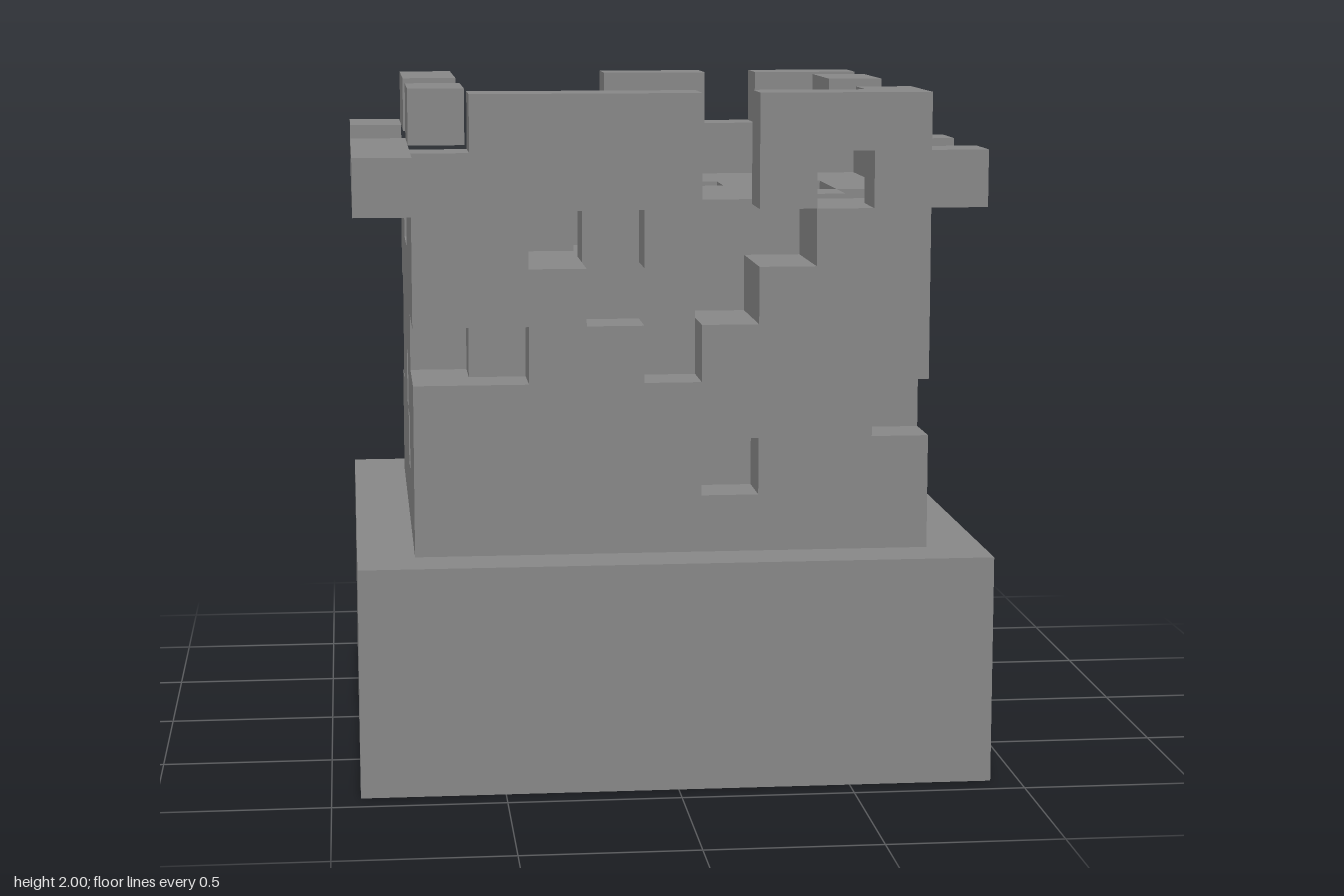
import * as THREE from 'three';
import { mergeGeometries } from 'three/addons/utils/BufferGeometryUtils.js';

const U = 1 / 6; // edge of one block

// Square facing each of the six directions, half a block from the centre
const SIDES = [
  [1, 0, 0], [-1, 0, 0], [0, 1, 0], [0, -1, 0], [0, 0, 1], [0, 0, -1],
].map(([x, y, z]) => {
  const face = new THREE.PlaneGeometry(U, U);
  if (x) face.rotateY(x * Math.PI / 2);
  if (y) face.rotateX(-y * Math.PI / 2);
  if (z < 0) face.rotateY(Math.PI);
  face.translate(x * U / 2, y * U / 2, z * U / 2);
  return { x, y, z, face };
});

const key = (x, y, z) => `${x},${y},${z}`;

// All blocks of a cuboid, ends included
function cuboid(x0, x1, y0, y1, z0, z1) {
  const blocks = [];
  for (let x = x0; x <= x1; x++)
    for (let y = y0; y <= y1; y++)
      for (let z = z0; z <= z1; z++) blocks.push([x, y, z]);
  return blocks;
}

// Skin around the given blocks, leaving out faces touching a solid block
function skin(blocks, solid) {
  const faces = [];
  for (const [x, y, z] of blocks)
    for (const s of SIDES) {
      if (solid.has(key(x + s.x, y + s.y, z + s.z))) continue;
      faces.push(s.face.clone().translate(x * U, (y + 0.5) * U, z * U));
    }
  return mergeGeometries(faces);
}

// Tower with blocks broken out of each wall and the roof
function towerBlocks() {
  const holes = new Set();
  const carve = (x0, x1, y0, y1, z0, z1) =>
    cuboid(x0, x1, y0, y1, z0, z1).forEach((b) => holes.add(key(...b)));

  // front and back walls: first x, last x, row
  const acrossX = (z, runs) => runs.forEach(([a, b, y]) => carve(a, b, y, y, z, z));
  acrossX(4, [[-2, -1, 9], [1, 2, 9], [-1, 1, 8], [0, 0, 7], [-4, -3, 7], [4, 4, 6], [1, 1, 5]]);
  acrossX(-4, [[1, 3, 9], [2, 2, 8], [-2, -2, 8], [1, 1, 6], [-2, -2, 5]]);

  // side walls: z, lowest row, highest row
  const upright = (x, runs) => runs.forEach(([z, a, b]) => carve(x, x, a, b, z, z));
  upright(4, [[2, 9, 9], [1, 9, 9], [0, 8, 8], [-2, 7, 8], [3, 7, 7], [1, 7, 7], [-1, 6, 6], [3, 5, 5]]);
  upright(-4, [[-4, 6, 7], [3, 7, 7], [0, 6, 6], [1, 5, 5]]);
  upright(3, [[-2, 8, 8]]);

  // roof pits: x, first z, last z
  const pits = (y, runs) => runs.forEach(([x, a, b]) => carve(x, x, y, y, a, b));
  pits(9, [[-4, -1, 0], [-3, 0, 0], [-2, -2, -2], [-2, 2, 3], [-1, 1, 2], [0, -2, -1],
    [0, 3, 3], [1, -1, -1], [1, 3, 3], [2, 3, 3], [3, -1, 0], [3, 2, 2]]);
  pits(8, [[1, 3, 3]]);

  return cuboid(-4, 4, 4, 9, -4, 4).filter((b) => !holes.has(key(...b)));
}

// Remains of the parapet
function parapetBlocks() {
  return [
    // front
    cuboid(-4, 0, 10, 10, 4, 4), cuboid(-3, 0, 11, 11, 4, 4),
    cuboid(2, 2, 10, 10, 4, 4), cuboid(4, 4, 10, 10, 4, 4),
    cuboid(2, 4, 11, 11, 4, 4), cuboid(4, 4, 11, 11, 3, 3),
    // back
    cuboid(1, 4, 10, 10, -4, -4), cuboid(3, 4, 11, 11, -4, -4),
    cuboid(0, 1, 11, 11, -4, -4), cuboid(-2, -2, 10, 10, -4, -4),
    // sides
    cuboid(4, 4, 11, 11, -2, -1), cuboid(-4, -4, 11, 11, 1, 2),
    cuboid(-4, -4, 11, 11, -4, -2),
  ].flat();
}

// Overhanging rim: side, first z, last z
function rimBlocks() {
  return [[-5, 1, 5], [-5, -5, -4], [5, -5, -2], [5, 1, 1], [5, 4, 4]]
    .flatMap(([x, a, b]) => cuboid(x, x, 10, 10, a, b));
}

export function createModel() {
  const group = new THREE.Group();
  const stone = new THREE.MeshStandardMaterial({ color: 0x888888 });
  stone.name = 'stone grey';
  const add = (name, geometry) => {
    const mesh = new THREE.Mesh(geometry, stone);
    mesh.name = name;
    group.add(mesh);
    return mesh;
  };

  // Plinth
  add('base', new THREE.BoxGeometry(11 * U, 4 * U, 11 * U)).position.y = 2 * U;

  // Ruined upper parts, skinned together so no inner faces remain
  const parts = {
    ruinedTower: towerBlocks(),
    brokenParapet: parapetBlocks(),
    overhangingRim: rimBlocks(),
  };
  const plinthTop = cuboid(-5, 5, 3, 3, -5, 5);
  const solid = new Set([plinthTop, ...Object.values(parts)].flat().map((b) => key(...b)));
  for (const [name, blocks] of Object.entries(parts)) add(name, skin(blocks, solid));
  return group;
}
